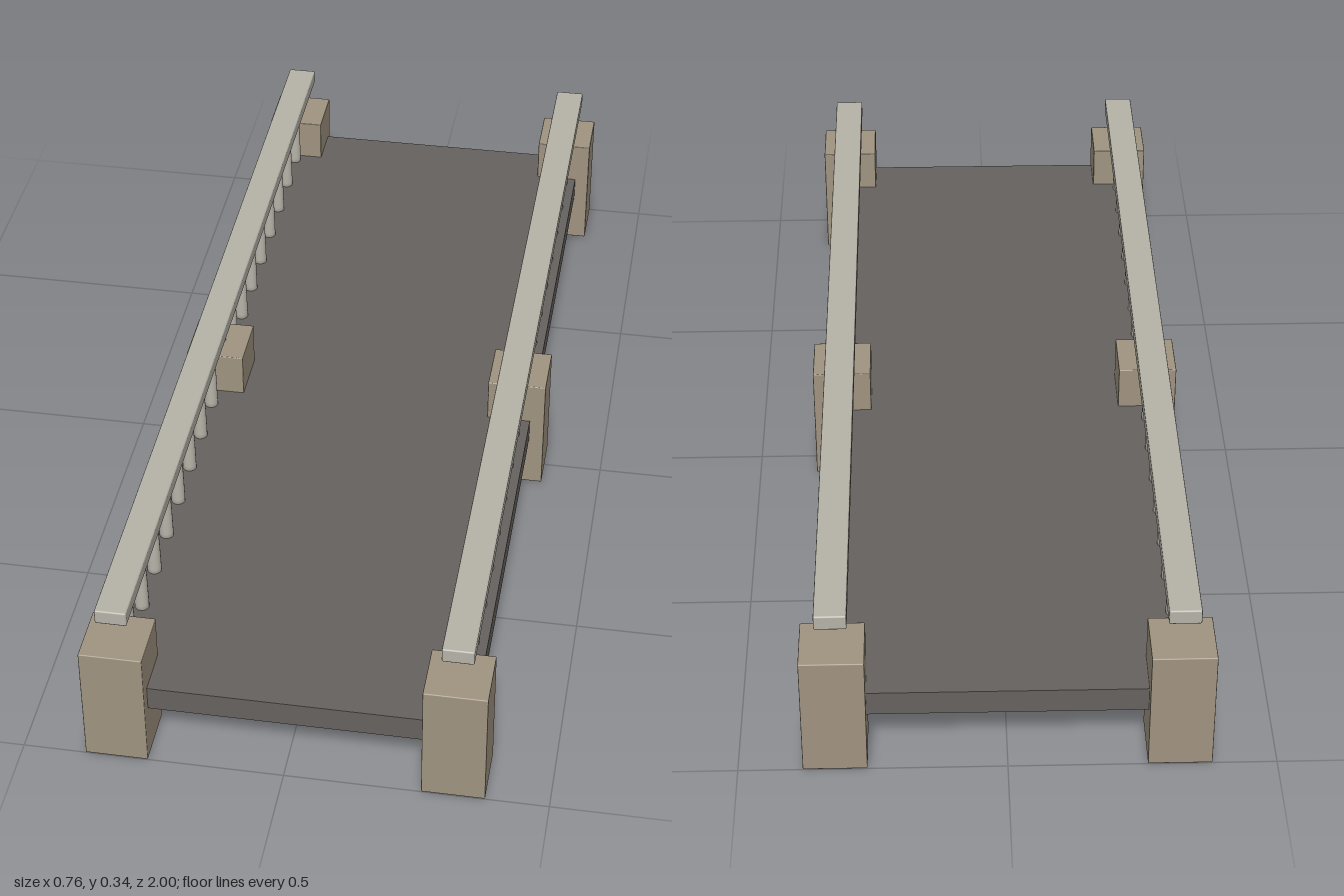
import * as THREE from 'three';
import { RoundedBoxGeometry } from 'three/addons/geometries/RoundedBoxGeometry.js';

const stone = new THREE.MeshStandardMaterial({ name: 'tan stone', color: 0xa09481 });
const paving = new THREE.MeshStandardMaterial({ name: 'dark paving', color: 0x66625f });
const paleStone = new THREE.MeshStandardMaterial({ name: 'pale stone', color: 0xb6b3a8 });

export function createModel() {
  const bridge = new THREE.Group();
  bridge.name = 'bridge';

  const add = (name, geometry, material, x, y, z) => {
    const mesh = new THREE.Mesh(geometry, material);
    mesh.name = name;
    mesh.position.set(x, y, z);
    bridge.add(mesh);
  };

  // Flat deck, y 0.11 to 0.16
  add('deck', new THREE.BoxGeometry(0.7, 0.05, 1.95), paving, 0, 0.135, 0);

  const pierGeometry = new RoundedBoxGeometry(0.12, 0.25, 0.12, 1, 0.002);
  const railGeometry = new RoundedBoxGeometry(0.06, 0.03, 1.95, 1, 0.003);

  // Turned baluster with a slim neck and flared top
  const profile = [
    [0, 0.15], [0.014, 0.15], [0.014, 0.17], [0.013, 0.23],
    [0.011, 0.28], [0.012, 0.3], [0, 0.3],
  ].map(([r, y]) => new THREE.Vector2(r, y));
  const balusterGeometry = new THREE.LatheGeometry(profile, 16);

  const balusterCount = 17;
  for (const [side, sx] of [['left', 1], ['right', -1]]) {
    const x = sx * 0.32;

    // Piers at both ends and the middle
    for (const [place, z] of [['Front', 0.94], ['Middle', 0], ['Back', -0.94]]) {
      add(`${side}${place}Pier`, pierGeometry, stone, x, 0.125, z);
    }

    // Handrail and its balusters
    add(`${side}Handrail`, railGeometry, paleStone, x, 0.325, 0);
    for (let i = 0; i < balusterCount; i++) {
      const z = 0.86 - (1.72 * i) / (balusterCount - 1);
      add(`${side}Baluster${i + 1}`, balusterGeometry, paleStone, x, 0, z);
    }
  }

  return bridge;
}
